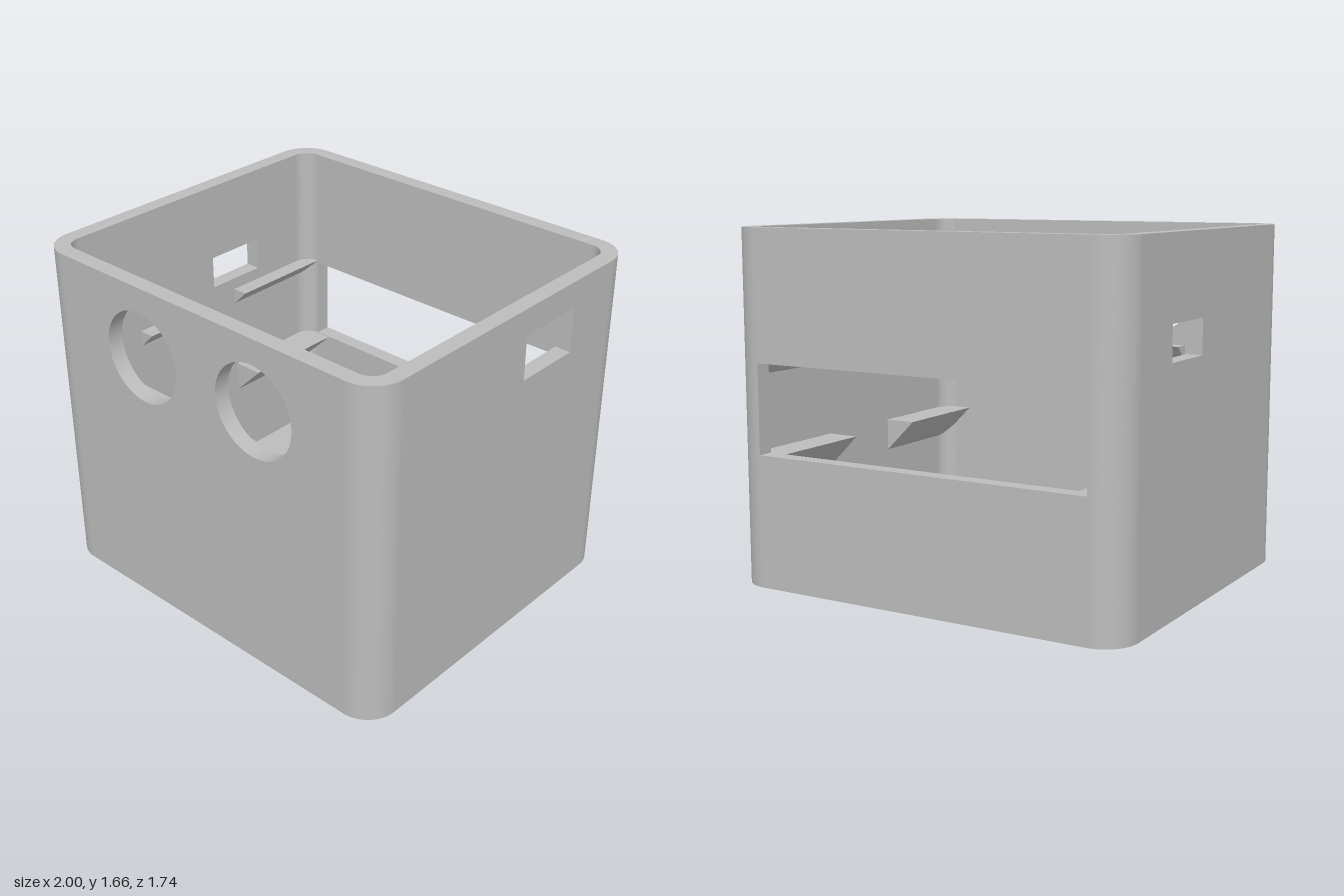
import * as THREE from 'three';
import { toCreasedNormals } from 'three/addons/utils/BufferGeometryUtils.js';

const W = 1, D = 0.87, H = 1.66;   // half width, half depth, height
const T = 0.077, R = 0.157;        // wall thickness, outer corner radius
const FLOOR = 0.07;
const CX = W - R, CZ = D - R;      // corner arc centres

const grey = new THREE.MeshStandardMaterial({ color: 0xbcbcbc });
grey.name = 'grey plastic';

function rectPath(x0, y0, x1, y1, Type = THREE.Path) {
  const p = new Type();
  p.moveTo(x0, y0);
  p.lineTo(x1, y0);
  p.lineTo(x1, y1);
  p.lineTo(x0, y1);
  p.closePath();
  return p;
}

function circlePath(x, y, r) {
  return new THREE.Path().absarc(x, y, r, 0, Math.PI * 2, true);
}

function extrude(shape, depth, holes = []) {
  shape.holes.push(...holes);
  const g = new THREE.ExtrudeGeometry(shape, { depth, bevelEnabled: false, curveSegments: 32 });
  return toCreasedNormals(g, 0.5);
}

export function createModel() {
  const model = new THREE.Group();
  model.name = 'enclosure';

  function add(name, geometry, x = 0, y = 0, z = 0) {
    const mesh = new THREE.Mesh(geometry, grey);
    mesh.name = name;
    mesh.position.set(x, y, z);
    model.add(mesh);
    return mesh;
  }

  // Front wall with two round openings
  add('frontWall', extrude(rectPath(-CX, 0, CX, H, THREE.Shape), T,
    [-0.34, 0.34].map((x) => circlePath(x, 1.32, 0.22))), 0, 0, D - T);

  // Back wall: solid above and below the wide slot
  for (const [name, y0, y1] of [['backWallLower', 0, 0.625], ['backWallUpper', 1.048, H]]) {
    add(name, new THREE.BoxGeometry(CX * 2, y1 - y0, T), 0, (y0 + y1) / 2, -D + T / 2);
  }

  // Side walls, each with its own port (shape x runs towards the back)
  const sides = [
    ['leftWall', W - T, [0.09, 1.315, 0.435, 1.53]],
    ['rightWall', -W, [0.105, 1.12, 0.42, 1.283]],
  ];
  for (const [name, x, port] of sides) {
    const g = extrude(rectPath(-CZ, 0, CZ, H, THREE.Shape), T, [rectPath(...port)]);
    add(name, g.rotateY(Math.PI / 2), x);
  }

  // Rounded corner posts
  for (let i = 0; i < 4; i++) {
    const a = i * Math.PI / 2, b = a + Math.PI / 2;
    const s = new THREE.Shape();
    s.absarc(0, 0, R, a, b, false);
    s.absarc(0, 0, R - T, b, a, true);
    s.closePath();
    const sx = i === 0 || i === 3 ? 1 : -1;
    const sz = i < 2 ? -1 : 1;
    add('cornerPost', extrude(s, H).rotateX(-Math.PI / 2), sx * CX, 0, sz * CZ);
  }

  // Floor with two rectangular cut-outs and four screw holes
  const fx = W - T, fz = D - T, r = R - T;
  const floor = new THREE.Shape();
  floor.absarc(CX, CZ, r, 0, Math.PI / 2);
  floor.absarc(-CX, CZ, r, Math.PI / 2, Math.PI);
  floor.absarc(-CX, -CZ, r, Math.PI, Math.PI * 1.5);
  floor.absarc(CX, -CZ, r, Math.PI * 1.5, Math.PI * 2);
  const floorHoles = [];
  for (const s of [-1, 1]) {
    floorHoles.push(rectPath(s * 0.15, -0.17, s * 0.767, 0.17));
    floorHoles.push(circlePath(s * 0.094, 0, 0.025), circlePath(s * 0.825, 0, 0.025));
  }
  add('floor', extrude(floor, FLOOR, floorHoles).rotateX(-Math.PI / 2));

  // Ledges: flat top, 45 degree underside, rooted slightly into the wall
  function wedge(side, lip, wall, top, length) {
    const root = wall + 0.02;
    const s = new THREE.Shape();
    s.moveTo(side * lip, top);
    s.lineTo(side * root, top);
    s.lineTo(side * root, top - (root - lip));
    s.closePath();
    return extrude(s, length);
  }
  for (const side of [-1, 1]) {
    add('backSupportRail', wedge(side, 0.763, fx, 0.622, fz - 0.245), 0, 0, -fz);
    add('frontSupportRail', wedge(side, 0.763, fx, 0.622, fz - 0.24), 0, 0, 0.24);
    add('backUpperRail', wedge(side, CX, fx, 1.06, fz - 0.245), 0, 0, -fz);
    add('frontUpperClip', wedge(side, CX, fx, 1.06, 0.15), 0, 0, 0.24);
  }
  add('frontLedge', wedge(1, 0.71, fz, 1.045, 1.05).rotateY(-Math.PI / 2), 0.525);

  return model;
}
